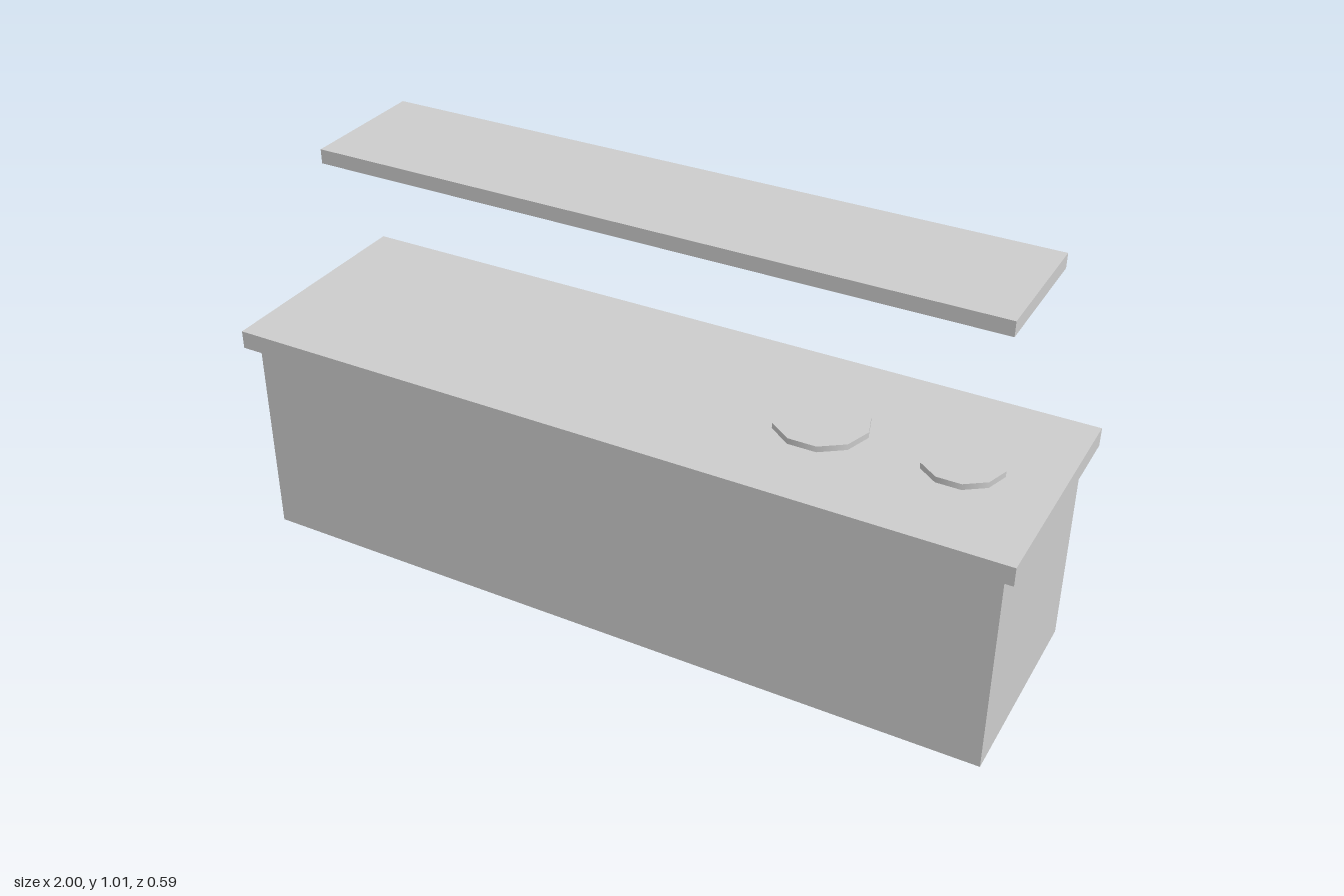
import * as THREE from 'three';

export function createModel() {
  const group = new THREE.Group();
  const grey = new THREE.MeshStandardMaterial({ color: 0xcccccc });
  grey.name = 'light grey';

  const add = (name, geometry, x, y, z) => {
    const mesh = new THREE.Mesh(geometry, grey);
    mesh.name = name;
    mesh.position.set(x, y, z);
    group.add(mesh);
  };

  // Box given by its size, bottom height and depth centre
  const addBox = (name, w, h, d, bottom, z = 0) =>
    add(name, new THREE.BoxGeometry(w, h, d), 0, bottom + h / 2, z);

  addBox('cabinet', 1.944, 0.536, 0.534, 0);
  addBox('countertop', 2, 0.047, 0.592, 0.536);
  addBox('floatingShelf', 1.75, 0.037, 0.34, 0.975, -0.097);

  // Ten-sided plates on the countertop, corners pointing along x
  const addPlate = (name, r, x) =>
    add(name, new THREE.CylinderGeometry(r, r, 0.015, 10, 1, false, Math.PI / 2), x, 0.5905, -0.005);

  addPlate('largePlate', 0.1155, 0.435);
  addPlate('smallPlate', 0.098, 0.775);

  return group;
}
